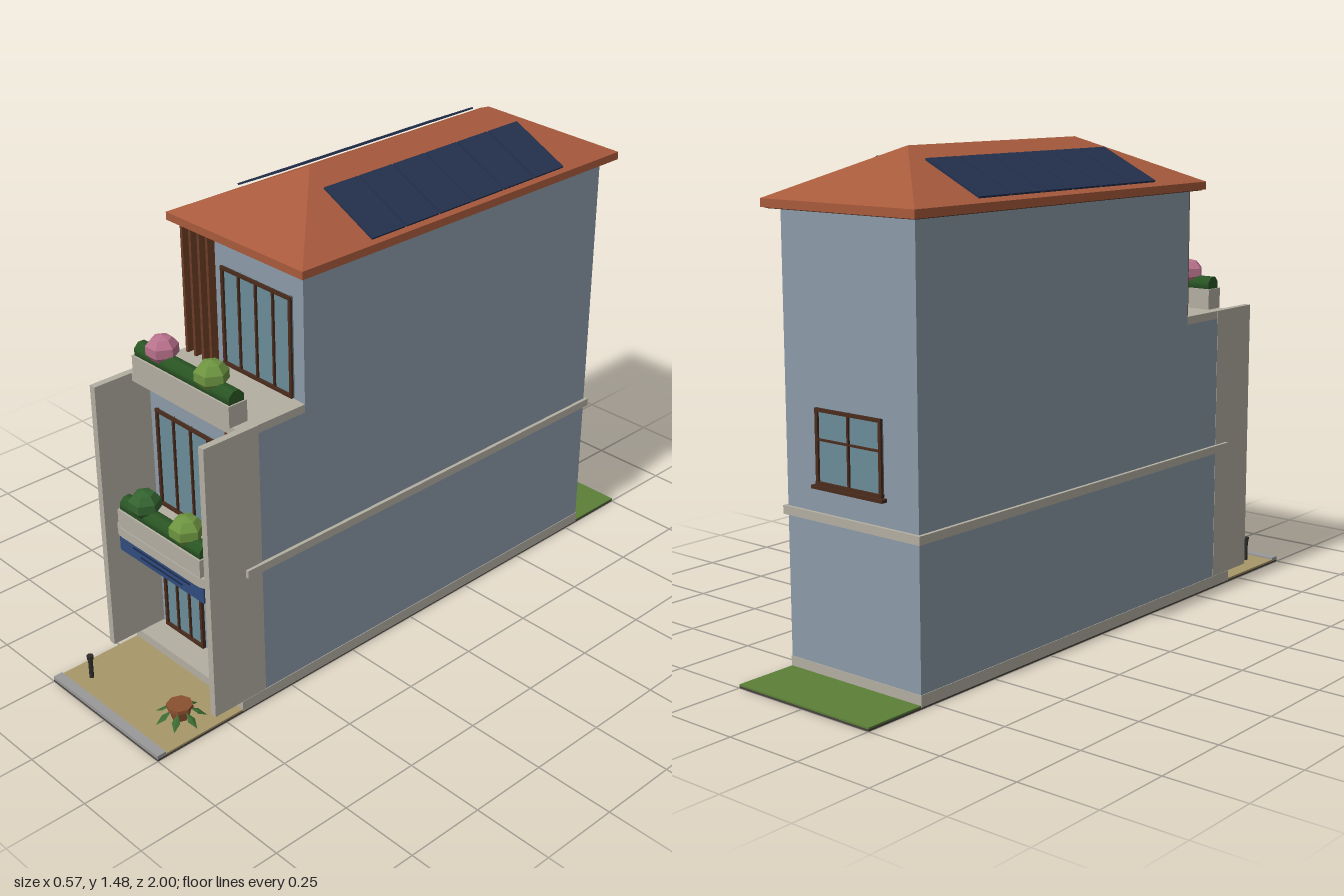
import * as THREE from 'three';

const mat = (color, extra = {}) => {
  const m = new THREE.MeshStandardMaterial(extra);
  m.color.set(color);
  return m;
};
const M = {
  wall: mat(0x8b9aa7), stone: mat(0xb3aea2), roof: mat(0xa85a3c), frame: mat(0x4a2a1c),
  slat: mat(0x6b3d26), glass: mat(0x6a8c98), panel: mat(0x24304e), base: mat(0x46413c),
  sand: mat(0xa8976a), lawn: mat(0x5c8038), curb: mat(0x999999), blue: mat(0x2f4c7d),
  navy: mat(0x1c2d50), hedge: mat(0x2a5524), dark: mat(0x2c2c28),
  leaf: mat(0x3c6a32, { flatShading: true, side: THREE.DoubleSide }),
  bushDark: mat(0x336330, { flatShading: true }),
  bushLight: mat(0x6d9440, { flatShading: true }),
  bushPink: mat(0xb8718c, { flatShading: true }),
  pot: mat(0x8a5030, { flatShading: true }),
};

export function createModel() {
  const root = new THREE.Group();
  root.name = 'narrowHouse';

  const add = (name, geometry, material, x = 0, y = 0, z = 0, parent = root) => {
    const mesh = new THREE.Mesh(geometry, material);
    mesh.name = name;
    mesh.position.set(x, y, z);
    parent.add(mesh);
    return mesh;
  };
  // box given by its limits on each axis
  const box = (name, material, x0, x1, y0, y1, z0, z1, parent = root) =>
    add(name, new THREE.BoxGeometry(x1 - x0, y1 - y0, z1 - z0), material,
      (x0 + x1) / 2, (y0 + y1) / 2, (z0 + z1) / 2, parent);
  const group = (name) => {
    const g = new THREE.Group();
    g.name = name;
    root.add(g);
    return g;
  };

  // site
  box('sitePlate', M.base, -0.25, 0.25, 0, 0.006, -1, 1);
  box('frontYard', M.sand, -0.25, 0.25, 0.006, 0.012, 0.69, 0.97);
  box('frontCurb', M.curb, -0.25, 0.25, 0.006, 0.018, 0.97, 1);
  box('backLawn', M.lawn, -0.25, 0.25, 0.006, 0.011, -1, -0.8);

  // main volumes
  box('plinth', M.stone, -0.252, 0.252, 0.006, 0.04, -0.802, 0.69);
  box('lowerBody', M.wall, -0.25, 0.25, 0.04, 0.895, -0.8, 0.6);
  box('upperBody', M.wall, -0.25, 0.25, 0.895, 1.318, -0.8, 0.43);
  box('terraceSlab', M.stone, -0.25, 0.25, 0.895, 0.92, 0.43, 0.66);
  for (const s of [-1, 1]) {
    const fin = s < 0 ? 'rightSideFin' : 'leftSideFin';
    box(fin, M.stone, s * 0.24 - 0.011, s * 0.24 + 0.011, 0.04, 0.92, 0.6, 0.79);
    box('sideBand', M.stone, s * 0.255 - 0.006, s * 0.255 + 0.006, 0.457, 0.482, -0.81, 0.66);
  }
  box('backBand', M.stone, -0.25, 0.25, 0.457, 0.482, -0.81, -0.8);
  box('doorLintel', M.stone, -0.23, 0.0, 0.368, 0.384, 0.6, 0.66);

  // balcony slab with rounded front corners
  const slab = new THREE.Shape();
  slab.moveTo(-0.215, 0.6);
  slab.lineTo(0.215, 0.6);
  slab.lineTo(0.215, 0.73);
  slab.quadraticCurveTo(0.215, 0.775, 0.17, 0.775);
  slab.lineTo(-0.17, 0.775);
  slab.quadraticCurveTo(-0.215, 0.775, -0.215, 0.73);
  slab.closePath();
  const slabGeo = new THREE.ExtrudeGeometry(slab, { depth: 0.03, bevelEnabled: false, curveSegments: 5 });
  slabGeo.rotateX(Math.PI / 2);
  add('balconySlab', slabGeo, M.stone, 0, 0.475, 0);

  // awning board under the balcony
  const awning = group('awningBoard');
  box('board', M.blue, -0.195, 0.19, 0.388, 0.446, 0.745, 0.765, awning);
  box('upperStripe', M.navy, -0.13, 0.13, 0.422, 0.427, 0.765, 0.768, awning);
  box('lowerStripe', M.navy, -0.095, 0.095, 0.404, 0.409, 0.765, 0.768, awning);

  // framed glazing on a wall at z, facing dir, split by upright bars and optional rails
  const glazing = (name, x0, x1, y0, y1, z, dir, panes, rails = []) => {
    const g = group(name), t = 0.01;
    const slice = (n, m, a, b, c, d, depth) =>
      box(n, m, a, b, c, d, Math.min(z, z + dir * depth), Math.max(z, z + dir * depth), g);
    slice('glass', M.glass, x0, x1, y0, y1, 0.004);
    slice('topRail', M.frame, x0, x1, y1 - t, y1, 0.012);
    slice('bottomRail', M.frame, x0, x1, y0, y0 + t, 0.012);
    for (let i = 0; i <= panes; i++) {
      const w = i === 0 || i === panes ? t : 0.006;
      const x = x0 + w / 2 + ((x1 - x0 - w) * i) / panes;
      slice('upright', M.frame, x - w / 2, x + w / 2, y0, y1, 0.011);
    }
    for (const y of rails) slice('crossRail', M.frame, x0, x1, y - 0.003, y + 0.003, 0.01);
  };
  glazing('frontDoor', -0.205, -0.025, 0.04, 0.365, 0.6, 1, 3);
  glazing('groundWindow', 0.01, 0.228, 0.09, 0.386, 0.6, 1, 2);
  glazing('balconyDoor', -0.197, 0.118, 0.478, 0.8, 0.6, 1, 4);
  glazing('terraceDoor', -0.085, 0.208, 0.925, 1.232, 0.43, 1, 4);
  glazing('backWindow', -0.125, 0.125, 0.562, 0.778, -0.8, -1, 2, [0.69]);
  box('backSill', M.frame, -0.135, 0.135, 0.552, 0.562, -0.82, -0.8);

  // timber screens
  for (const x of [-0.225, -0.188, -0.151, -0.114])
    box('terraceSlat', M.slat, x - 0.005, x + 0.005, 0.92, 1.318, 0.437, 0.462);
  for (const x of [0.15, 0.187, 0.224])
    box('balconySlat', M.slat, x - 0.005, x + 0.005, 0.475, 0.895, 0.607, 0.632);

  // hipped roof
  const W = 0.287, zF = 0.465, zB = -0.84, yE = 1.34, yR = 1.48;
  box('eaves', M.roof, -W, W, 1.316, yE, zB, zF);
  box('soffit', M.frame, -W + 0.01, W - 0.01, 1.313, 1.317, zB + 0.01, zF - 0.01);
  const fl = [-W, yE, zF], fr = [W, yE, zF], bl = [-W, yE, zB], br = [W, yE, zB];
  const rf = [0, yR, 0.175], rb = [0, yR, -0.56];
  const hip = new THREE.BufferGeometry();
  hip.setAttribute('position', new THREE.Float32BufferAttribute([
    fl, fr, rf, br, bl, rb,
    fr, br, rb, fr, rb, rf,
    bl, fl, rf, bl, rf, rb].flat(), 3));
  hip.computeVertexNormals();
  add('hippedRoof', hip, M.roof);

  // solar panels, six on each slope
  const pitch = Math.atan2(yR - yE, W);
  for (const s of [-1, 1]) {
    const array = group(s < 0 ? 'rightSolarPanels' : 'leftSolarPanels');
    array.position.set(s * 0.185, 1.401, 0);
    array.rotation.z = -s * pitch;
    for (let i = 0; i < 6; i++)
      add('solarPanel', new THREE.BoxGeometry(0.212, 0.006, 0.127), M.panel, 0, 0, 0.141 - i * 0.1328, array);
  }

  // planters with a hedge and two bushes
  const planter = (name, w, y0, y1, z, bushes) => {
    const g = group(name);
    box('trough', M.stone, -w, w, y0, y1, z - 0.032, z + 0.032, g);
    const hedge = new THREE.CylinderGeometry(0.028, 0.028, 2 * w - 0.01, 8);
    hedge.rotateY(Math.PI / 8);
    hedge.rotateZ(Math.PI / 2);
    add('hedge', hedge, M.hedge, 0, y1 + 0.011, z, g);
    for (const [x, r, m] of bushes) {
      const bush = add('bush', new THREE.SphereGeometry(r, 6, 5), m, x, y1 + 0.047, z, g);
      bush.scale.y = 0.86;
    }
  };
  planter('terracePlanter', 0.212, 0.92, 0.985, 0.636, [[-0.11, 0.05, M.bushPink], [0.105, 0.052, M.bushLight]]);
  planter('balconyPlanter', 0.187, 0.445, 0.532, 0.74, [[-0.095, 0.051, M.bushDark], [0.095, 0.053, M.bushLight]]);

  // low pot ringed with drooping leaves
  const pot = group('yardPot');
  pot.position.set(0.15, 0.012, 0.84);
  add('potBody', new THREE.CylinderGeometry(0.034, 0.026, 0.034, 8), M.pot, 0, 0.017, 0, pot);
  add('potRim', new THREE.CylinderGeometry(0.039, 0.039, 0.012, 8), M.pot, 0, 0.04, 0, pot);
  for (let i = 0; i < 7; i++) {
    const leaf = new THREE.OctahedronGeometry(0.03);
    leaf.scale(1, 0.15, 0.42);
    leaf.rotateZ(-0.55);
    leaf.translate(0.052, 0.016, 0);
    add('leaf', leaf, M.leaf, 0, 0, 0, pot).rotation.y = (i * Math.PI * 2) / 7;
  }

  // garden light
  add('lightPost', new THREE.CylinderGeometry(0.007, 0.007, 0.07, 8), M.dark, -0.177, 0.045, 0.915);
  add('lightCap', new THREE.CylinderGeometry(0.01, 0.01, 0.014, 8), M.dark, -0.177, 0.084, 0.915);

  return root;
}
